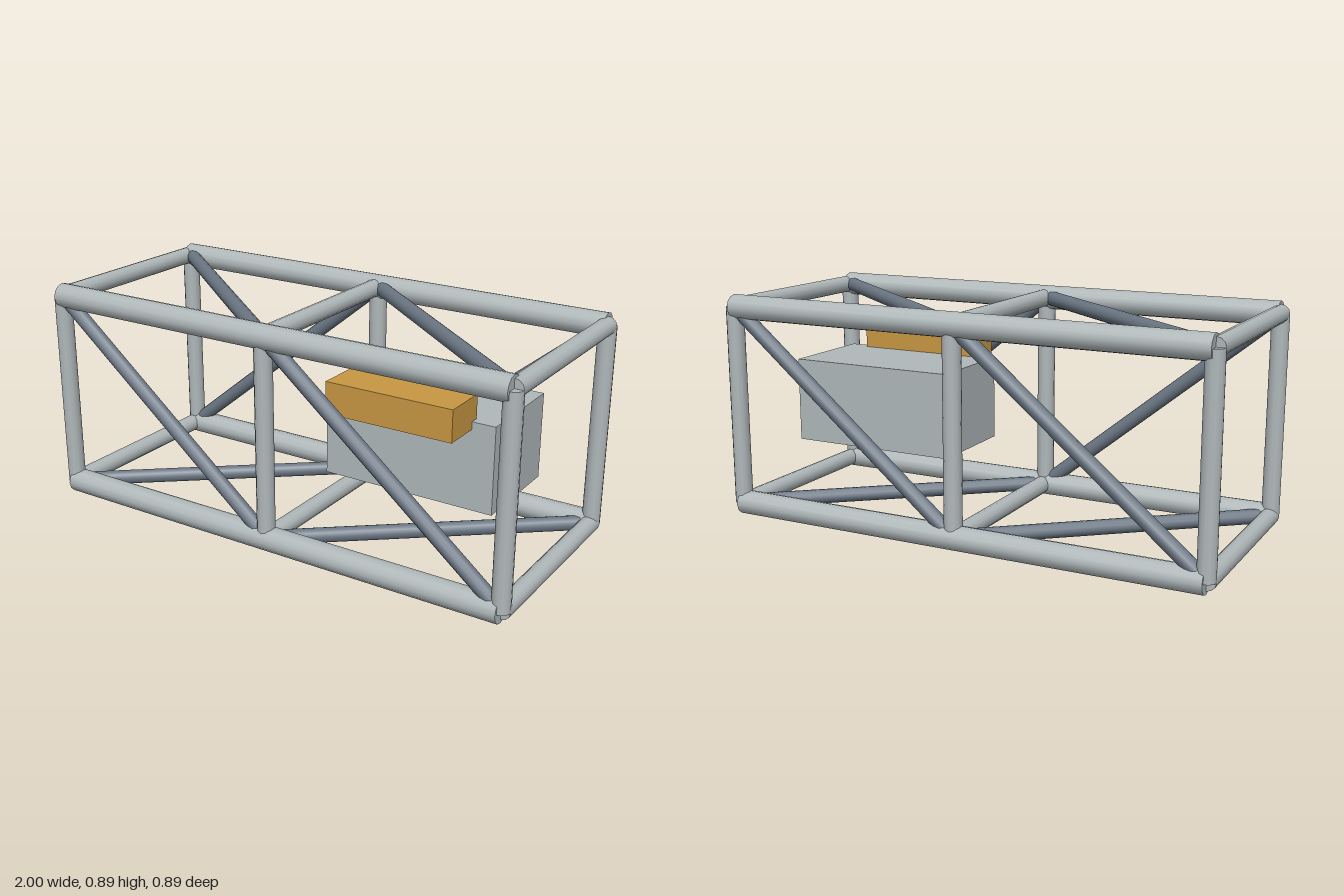
import * as THREE from 'three';

const material = (name, color) => {
  const m = new THREE.MeshStandardMaterial({ color });
  m.name = name;
  return m;
};

export function createModel() {
  const model = new THREE.Group();
  model.name = 'trussModule';
  const steel = material('light grey steel', 0xb0b8ba);
  const slate = material('slate brace', 0x6b7784);
  const ochre = material('ochre', 0xc89743);

  // Frame node positions: ends and middle in x, bottom and top in y, back and front in z
  const X = 0.965, Y0 = 0.049, Y1 = 0.839, Z = 0.395;

  // Round bar between two points
  const bar = (name, a, b, radius, mat) => {
    const start = new THREE.Vector3(...a), end = new THREE.Vector3(...b);
    const dir = end.clone().sub(start);
    const mesh = new THREE.Mesh(new THREE.CylinderGeometry(radius, radius, dir.length(), 12), mat);
    mesh.position.copy(start).add(end).multiplyScalar(0.5);
    mesh.quaternion.setFromUnitVectors(new THREE.Vector3(0, 1, 0), dir.normalize());
    mesh.name = name;
    model.add(mesh);
  };

  // Long chords
  for (const y of [Y0, Y1])
    for (const z of [-Z, Z]) bar('chord', [-X, y, z], [X, y, z], 0.048, steel);

  // Posts and cross bars at each frame
  for (const x of [-X, 0, X]) {
    for (const z of [-Z, Z]) bar('post', [x, Y0, z], [x, Y1, z], 0.035, steel);
    for (const y of [Y0, Y1]) bar('crossBar', [x, y, -Z], [x, y, Z], 0.035, steel);
  }

  // Diagonal braces, one per side of each bay
  for (const x of [-X, 0]) {
    const r = 0.029;
    bar('frontBrace', [x, Y1, Z], [x + X, Y0, Z], r, slate);
    bar('backBrace', [x, Y0, -Z], [x + X, Y1, -Z], r, slate);
    bar('topBrace', [x, Y1, -Z], [x + X, Y1, Z], r, slate);
    bar('bottomBrace', [x, Y0, Z], [x + X, Y0, -Z], r, slate);
  }

  // Equipment boxes in the right-hand bay
  const box = (name, size, pos, mat) => {
    const mesh = new THREE.Mesh(new THREE.BoxGeometry(...size), mat);
    mesh.position.set(...pos);
    mesh.name = name;
    model.add(mesh);
  };
  box('equipmentBox', [0.68, 0.33, 0.394], [0.48, 0.445, 0], steel);
  box('ochreUnit', [0.5, 0.12, 0.18], [0.48, 0.641, 0.253], ochre);

  return model;
}
